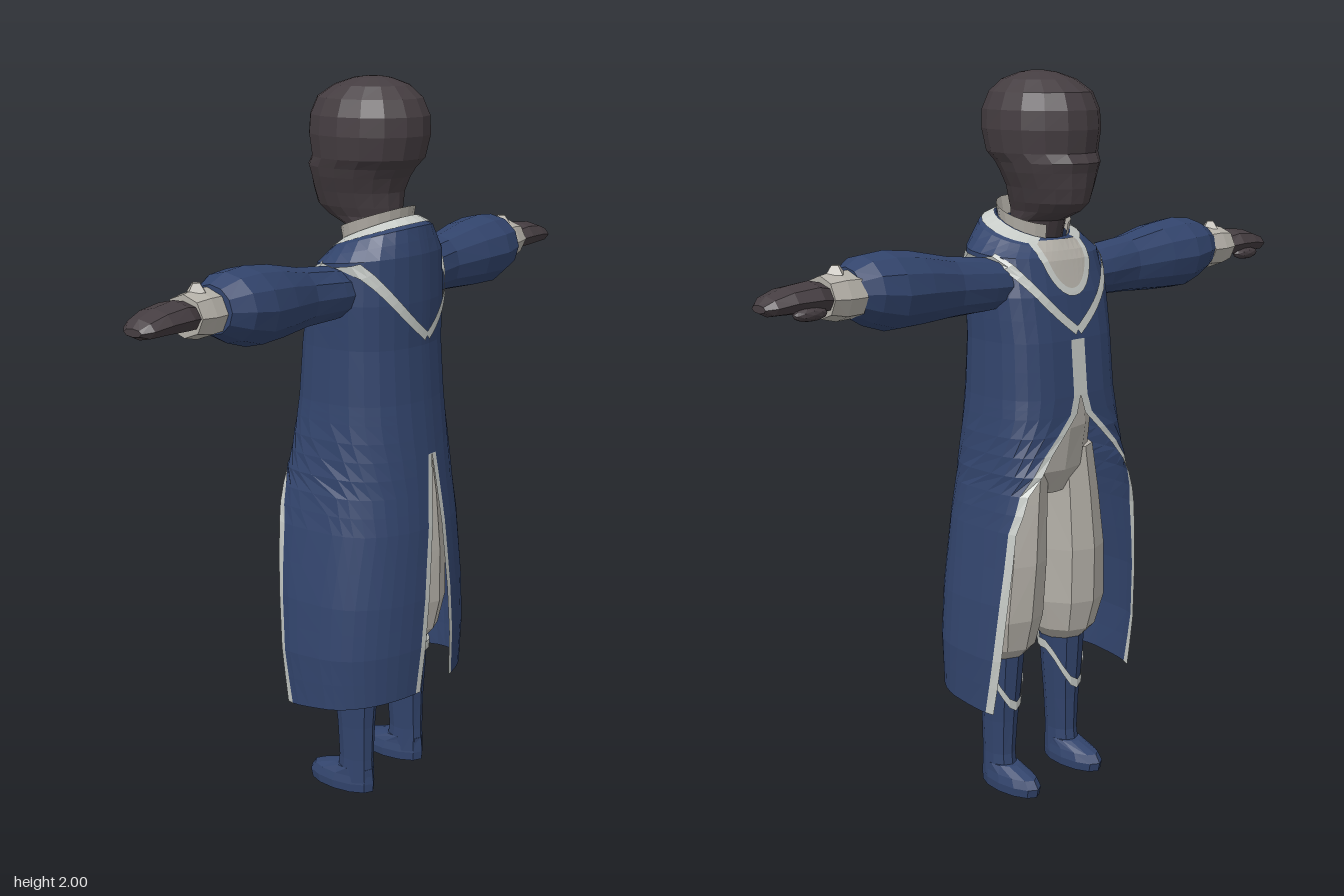
import * as THREE from 'three';

const mat = (name, color) => new THREE.MeshStandardMaterial({ name, color, flatShading: true, side: THREE.DoubleSide });
const MAT = {
  coat: mat('navy cloth', 0x32446c),
  skin: mat('dark skin', 0x453d41),
  cloth: mat('grey linen', 0xb5b1a9),
  trim: mat('pale trim', 0xc6cac6),
};

// Surface through rows of points; pick(r, c) chooses a material index per quad
function skin(rows, pick) {
  const parts = [[], []];
  for (let r = 0; r < rows.length - 1; r++) {
    for (let c = 0; c < rows[r].length - 1; c++) {
      const a = rows[r][c], b = rows[r][c + 1], d = rows[r + 1][c], e = rows[r + 1][c + 1];
      parts[pick ? pick(r, c) : 0].push(...a, ...b, ...e, ...a, ...e, ...d);
    }
  }
  const g = new THREE.BufferGeometry();
  g.setAttribute('position', new THREE.Float32BufferAttribute([...parts[0], ...parts[1]], 3));
  if (pick) {
    g.addGroup(0, parts[0].length / 3, 0);
    g.addGroup(parts[0].length / 3, parts[1].length / 3, 1);
  }
  g.computeVertexNormals();
  return g;
}

// Closed rings capped at both ends
function loft(rings) {
  const mid = ring => {
    const n = ring.length - 1;
    const m = [0, 1, 2].map(k => ring.slice(0, n).reduce((s, p) => s + p[k], 0) / n);
    return ring.map(() => m);
  };
  return skin([mid(rings[0]), ...rings, mid(rings[rings.length - 1])]);
}
const turn = (n, f) => Array.from({ length: n + 1 }, (_, i) => f((i % n) / n * Math.PI * 2));
// Ring across y: half width, back z, front z
const ringY = (n, y, xc, w, zb, zf) => turn(n, t => [xc + w * Math.sin(t), y, (zb + zf) / 2 + (zb - zf) / 2 * Math.cos(t)]);
// Ring across x, for arms
const ringX = (n, x, yc, ry, zc, rz) => turn(n, t => [x, yc + ry * Math.cos(t), zc + rz * Math.sin(t)]);

function add(parent, name, geometry, material) {
  const m = new THREE.Mesh(geometry, material);
  m.name = name;
  parent.add(m);
  return m;
}

// Coat levels: y, half width, back z, front z, slope, front exponent, slit, opening
const LEVELS = [
  [0.30, 0.283, 0.200, -0.180, 0.12, 0.5, 0.072, 0.268],
  [0.45, 0.287, 0.208, -0.195, 0.05, 0.5, 0.060, 0.262],
  [0.60, 0.275, 0.208, -0.213, 0, 0.5, 0.045, 0.250],
  [0.80, 0.245, 0.200, -0.250, 0, 0.5, 0.022, 0.230],
  [0.90, 0.228, 0.190, -0.222, 0, 0.5, 0.011, 0.195],
  [1.00, 0.215, 0.180, -0.195, 0, 0.5, 0, 0.115],
  [1.10, 0.204, 0.170, -0.185, 0, 0.55, 0, 0.015],
  [1.15, 0.200, 0.165, -0.183, 0, 0.6, 0, 0],
  [1.30, 0.195, 0.155, -0.170, 0, 0.6, 0, 0],
  [1.42, 0.200, 0.158, -0.150, 0, 0.65, 0, 0],
  [1.53, 0.195, 0.155, -0.122, 0.10, 0.8, 0, 0],
  [1.575, 0.150, 0.140, -0.105, 0.30, 0.9, 0, 0],
  [1.60, 0.098, 0.100, -0.090, 0.40, 1, 0, 0],
];
function level(y) {
  let i = 0;
  while (i < LEVELS.length - 2 && y > LEVELS[i + 1][0]) i++;
  const A = LEVELS[i], B = LEVELS[i + 1];
  const t = THREE.MathUtils.clamp((y - A[0]) / (B[0] - A[0]), 0, 1);
  return A.map((v, k) => v + (B[k] - v) * t);
}
// Point on the coat: angle 0 is the back, PI the chest
function coatPoint(a, y, off = 0) {
  const [, w, zb, zf, k, ef] = level(y);
  const s = Math.max(0, Math.sin(a)), c = Math.cos(a), e = c > 0 ? 0.92 : ef;
  const z = (c > 0 ? zb + off : zf - off) * Math.pow(Math.abs(c), e);
  return [(w + off) * Math.pow(s, e), y + k * z, z];
}
function coatAngle(x, y, front) {
  const L = level(y);
  const a = Math.asin(Math.pow(Math.min(1, Math.abs(x) / L[1]), 1 / (front ? L[5] : 0.92)));
  return front ? Math.PI - a : a;
}
function onCoat(x, y, front, off) {
  let p, yy = y;
  for (let i = 0; i < 4; i++) {
    p = coatPoint(coatAngle(x, yy, front), yy, off);
    yy += y - p[1];
  }
  return [Math.sign(x) * p[0], p[1], p[2]];
}
// Walk along a level by a given arc length
function step(a, y, length, dir) {
  const p = new THREE.Vector3(...coatPoint(a, y));
  let b = a;
  while (p.distanceTo(new THREE.Vector3(...coatPoint(b, y))) < length) b += dir * 0.004;
  return b;
}
// Flat braid laid over the coat along a path of [x, y]
function braid(path, front, width) {
  const rows = path.map((p, i) => {
    const a = path[Math.max(0, i - 1)], b = path[Math.min(path.length - 1, i + 1)];
    const d = new THREE.Vector2(b[0] - a[0], b[1] - a[1]).normalize().multiplyScalar(width / 2);
    return [1, 0, -1].map(s => onCoat(p[0] - s * d.y, p[1] + s * d.x, front, 0.006));
  });
  return skin(rows);
}

function coatHalf(group, sx) {
  const ys = [];
  LEVELS.forEach((L, i) => {
    if (i) ys.push((LEVELS[i - 1][0] + L[0]) / 2);
    ys.push(L[0]);
  });
  const N = 12;
  const rows = ys.map(y => {
    const L = level(y);
    const a0 = L[6] > 0 ? coatAngle(L[6], y, false) : 0;
    const a1 = coatAngle(L[7], y, true);
    const b0 = step(a0, y, 0.018, 1), b1 = step(a1, y, 0.024, -1);
    const cols = [a0];
    for (let i = 0; i <= N; i++) cols.push(b0 + (b1 - b0) * i / N);
    return [...cols, a1].map(a => coatPoint(a, y));
  });
  const last = N + 1;
  const pick = (r, c) => ((c === 0 && ys[r] < 0.99) || (c === last && ys[r] < 1.29) ? 1 : 0);
  add(group, 'coatHalf', skin(rows, pick), [MAT.coat, MAT.trim]).scale.x = sx;
}

function side(sx) {
  const g = new THREE.Group();
  g.name = sx > 0 ? 'leftLimbs' : 'rightLimbs';
  g.scale.x = sx;

  // Puffed sleeve, cuff and hand
  add(g, 'sleeve', loft([
    [0.15, 1.45, 0.065, -0.02, 0.08], [0.22, 1.452, 0.073, -0.02, 0.08], [0.33, 1.457, 0.08, -0.022, 0.073],
    [0.45, 1.466, 0.096, -0.02, 0.1], [0.54, 1.47, 0.102, -0.02, 0.112], [0.61, 1.478, 0.088, -0.02, 0.1],
    [0.66, 1.48, 0.062, -0.025, 0.068],
  ].map(r => ringX(12, ...r))), MAT.coat);
  add(g, 'cuff', loft([
    [0.65, 1.475, 0.06, -0.035, 0.066], [0.70, 1.475, 0.062, -0.035, 0.068], [0.745, 1.477, 0.053, -0.035, 0.06],
  ].map(r => ringX(8, ...r))), MAT.cloth);
  const stud = add(g, 'cuffStud', new THREE.CylinderGeometry(0.012, 0.03, 0.022, 4), MAT.cloth);
  stud.position.set(0.698, 1.54, -0.035);
  add(g, 'hand', loft([
    [0.73, 1.475, 0.035, -0.035, 0.05], [0.78, 1.482, 0.04, -0.035, 0.068], [0.85, 1.48, 0.034, -0.033, 0.062],
    [0.90, 1.472, 0.025, -0.033, 0.05], [0.922, 1.468, 0.01, -0.033, 0.028],
  ].map(r => ringX(8, ...r))), MAT.skin);
  const thumb = add(g, 'thumb', new THREE.IcosahedronGeometry(1, 1), MAT.skin);
  thumb.scale.set(0.05, 0.018, 0.022);
  thumb.position.set(0.81, 1.45, -0.08);

  // Baggy trouser leg
  add(g, 'trouserLeg', loft([
    [0.39, 0.12, 0.055, 0.075, -0.055], [0.43, 0.12, 0.09, 0.11, -0.095], [0.52, 0.122, 0.112, 0.13, -0.12],
    [0.68, 0.114, 0.108, 0.135, -0.13], [0.85, 0.1, 0.095, 0.13, -0.125], [0.98, 0.085, 0.085, 0.12, -0.12],
  ].map(r => ringY(10, ...r))), MAT.cloth);

  // Boot with pointed braid at the top
  add(g, 'bootShaft', loft([
    [0.03, 0.125, 0.042, 0.068, -0.05], [0.10, 0.125, 0.04, 0.066, -0.04], [0.20, 0.123, 0.046, 0.068, -0.045],
    [0.30, 0.122, 0.054, 0.075, -0.055], [0.41, 0.12, 0.06, 0.08, -0.065],
  ].map(r => ringY(10, ...r))), MAT.coat);
  add(g, 'bootFoot', loft([
    [0.0, 0.125, 0.048, 0.07, -0.142], [0.025, 0.125, 0.05, 0.072, -0.148], [0.048, 0.125, 0.045, 0.07, -0.132],
    [0.07, 0.125, 0.04, 0.068, -0.06],
  ].map(r => ringY(12, ...r))), MAT.coat);
  const band = [0, 0.028].map(h => turn(16, t => {
    const y = 0.355 - 0.12 * Math.pow(Math.max(0, -Math.cos(t)), 1.5) + h;
    const r = 0.046 + (y - 0.2) * 0.075 + 0.006;
    return [0.122 + r * Math.sin(t), y, 0.01 + (r + 0.011) * Math.cos(t)];
  }));
  add(g, 'bootBraid', skin(band), MAT.trim);
  return g;
}

export function createModel() {
  const model = new THREE.Group();
  model.name = 'figure';

  // Head and neck
  add(model, 'head', loft([
    [1.54, 0.07, 0.06, -0.075], [1.61, 0.072, 0.06, -0.095], [1.635, 0.076, 0.065, -0.155], [1.66, 0.088, 0.068, -0.185],
    [1.70, 0.102, 0.07, -0.195], [1.74, 0.119, 0.085, -0.2], [1.765, 0.127, 0.103, -0.208], [1.79, 0.138, 0.128, -0.192],
    [1.85, 0.147, 0.143, -0.2], [1.90, 0.144, 0.142, -0.196], [1.945, 0.127, 0.122, -0.175],
    [1.977, 0.093, 0.085, -0.125], [1.995, 0.045, 0.035, -0.07], [2.0, 0.015, 0.0, -0.03],
  ].map(([y, ...r]) => ringY(16, y, 0, ...r))), MAT.skin);

  // Upright collar, open at the throat
  const collar = [[1.585, 0.096], [1.632, 0.104]].map(([y, w]) => Array.from({ length: 19 }, (_, i) => {
    const a = (i / 18 * 2 - 1) * 2.75, z = w * 0.95 * Math.cos(a);
    return [w * Math.sin(a), y + 0.34 * z, z];
  }));
  add(model, 'collar', skin(collar), MAT.cloth);

  // Coat with back slit and cutaway front
  const coat = new THREE.Group();
  coat.name = 'coat';
  model.add(coat);
  for (const s of [1, -1]) {
    coatHalf(coat, s);
    const neck = [1.582, 1.6].map(y => Array.from({ length: 11 }, (_, i) => coatPoint(i / 10 * 2.6, y, 0.005)));
    add(coat, 'neckBraid', skin(neck), MAT.trim).scale.x = s;
    for (const front of [false, true]) {
      const path = Array.from({ length: 11 }, (_, i) => {
        const t = i / 10;
        return [s * (0.002 + 0.186 * t), 1.322 + 0.205 * t - 0.02 * Math.sin(Math.PI * t)];
      });
      add(coat, 'yokeBraid', braid(path, front, 0.024), MAT.trim);
    }
  }

  // Shirt front inside the rounded neckline
  const neckline = t => [0.082 * Math.sin(t), 1.425 + 0.135 * (1 - Math.cos(t))];
  const shirt = Array.from({ length: 9 }, (_, i) => {
    const [w, y] = neckline(i / 8 * Math.PI / 2);
    return Array.from({ length: 9 }, (_, j) => onCoat(w * (1 - j / 4), y, true, 0.004));
  });
  add(model, 'shirtFront', skin(shirt), MAT.cloth);
  const edge = Array.from({ length: 17 }, (_, i) => neckline((i / 8 - 1) * Math.PI / 2));
  add(coat, 'necklineBraid', braid(edge, true, 0.02), MAT.trim);

  // Hips
  add(model, 'trouserHips', loft([
    [0.86, 0.10, 0.10, -0.09], [0.93, 0.165, 0.13, -0.125], [1.05, 0.165, 0.135, -0.145], [1.16, 0.15, 0.12, -0.14],
  ].map(([y, ...r]) => ringY(14, y, 0, ...r))), MAT.cloth);

  model.add(side(1), side(-1));
  return model;
}
